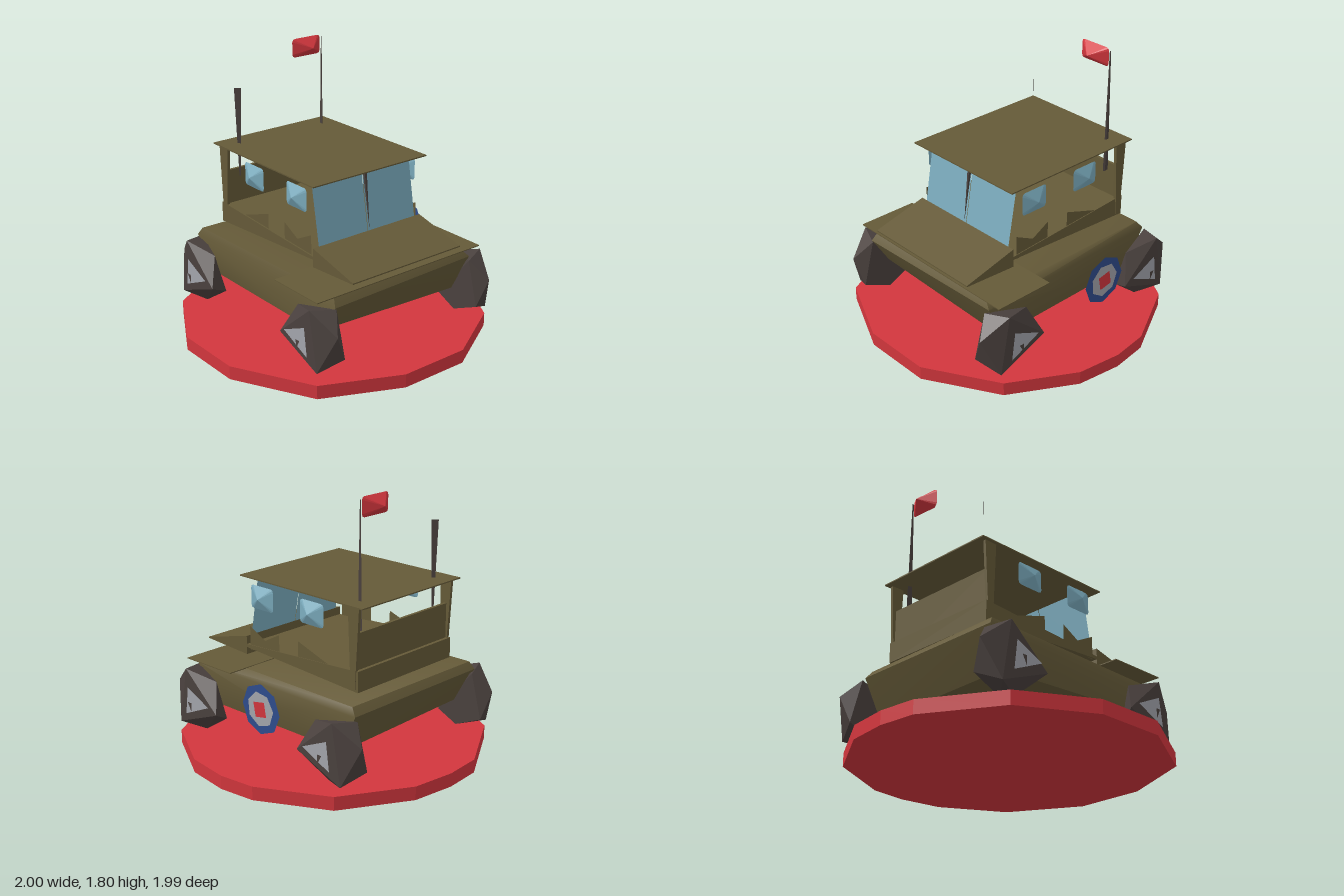
import * as THREE from 'three';
import { toCreasedNormals } from 'three/addons/utils/BufferGeometryUtils.js';
import { ConvexGeometry } from 'three/addons/geometries/ConvexGeometry.js';

export function createModel() {
  const group = new THREE.Group();
  const mat = (name, color, opts = {}) => {
    const m = new THREE.MeshStandardMaterial({ color, flatShading: true, side: THREE.DoubleSide, ...opts });
    m.name = name;
    return m;
  };
  const red = mat('red', 0xd2363d);
  const olive = mat('olive', 0x655a38, { flatShading: false });
  const glass = mat('glassBlue', 0x7cadbf);
  const rubber = mat('darkBrown', 0x4a413e);
  const navy = mat('navy', 0x2f4c8c);
  const grey = mat('grey', 0xa3a5ac);

  const add = (name, geo, material) => {
    const mesh = new THREE.Mesh(geo, material);
    mesh.name = name;
    group.add(mesh);
    return mesh;
  };
  const V = (p) => new THREE.Vector3(...p);
  const hull = (name, pts, material) => add(name, new ConvexGeometry(pts.map(V)), material);
  // Flat polygon, as a fan around its first corner
  const plate = (name, pts, material) => {
    const pos = [];
    for (let i = 1; i < pts.length - 1; i++) pos.push(...pts[0], ...pts[i], ...pts[i + 1]);
    const geo = new THREE.BufferGeometry();
    geo.setAttribute('position', new THREE.Float32BufferAttribute(pos, 3));
    geo.computeVertexNormals();
    return add(name, geo, material);
  };
  // Side profile given as [z, y], spanning x0..x1
  const prism = (name, zy, x0, x1, material) =>
    hull(name, zy.flatMap(([z, y]) => [[x0, y, z], [x1, y, z]]), material);
  const box = (name, x0, x1, y0, y1, z0, z1, material) => {
    const geo = new THREE.BoxGeometry(x1 - x0, y1 - y0, z1 - z0);
    geo.translate((x0 + x1) / 2, (y0 + y1) / 2, (z0 + z1) / 2);
    return add(name, geo, material);
  };
  // Rounded rectangle swelling to a point on both sides
  const pillow = (name, w, h, d, material) => {
    const pts = [[0, 0, d], [0, 0, -d]];
    const c = 0.02;
    for (const sx of [-1, 1]) for (const sy of [-1, 1]) {
      pts.push([sx * w, sy * (h - c), 0], [sx * (w - c * 0.3), sy * (h - c * 0.3), 0], [sx * (w - c), sy * h, 0]);
    }
    return hull(name, pts, material);
  };

  // Round base
  const rim = [[-0.23, 0.99], [0.25, 0.99], [0.72, 0.72], [0.96, 0.3], [1, 0], [0.97, -0.25], [0.73, -0.7],
    [0.29, -0.96], [0, -1], [-0.26, -0.98], [-0.74, -0.7], [-1, -0.24], [-1, 0.24], [-0.73, 0.76]];
  const disc = new THREE.ExtrudeGeometry(
    new THREE.Shape(rim.map(([x, z]) => new THREE.Vector2(x, -z))), { depth: 0.09, bevelEnabled: false });
  disc.rotateX(-Math.PI / 2);
  add('base', disc, red);

  // Lower hull
  const body = new ConvexGeometry([
    [-0.54, 0.59, 0.68], [0.52, 0.59, 0.68], [0.53, 0.59, -0.66], [-0.57, 0.59, -0.68],
    [-0.56, 0.53, 0.72], [0.57, 0.54, 0.7], [0.55, 0.54, -0.7], [-0.59, 0.54, -0.71],
    [-0.6, 0.34, 0.6], [0.54, 0.28, 0.58], [0.53, 0.28, -0.58], [-0.55, 0.3, -0.58],
    [0.58, 0.42, 0], [-0.6, 0.42, 0]].map(V));
  add('body', toCreasedNormals(body, 0.8), olive);
  box('frontFenders', -0.68, 0.66, 0.588, 0.594, 0.28, 0.7, olive);

  // Bonnet and cab tub
  prism('bonnet', [[0.75, 0.662], [0.75, 0.67], [0.37, 0.765], [0.37, 0.64]], -0.45, 0.43, olive);
  prism('cabTub', [[0.37, 0.71], [-0.61, 0.77], [-0.61, 0.635], [0.37, 0.69]], -0.45, 0.43, olive);
  box('rearPanel', -0.45, 0.43, 0.64, 1.0, -0.585, -0.565, olive);

  // Roof, rear posts and notched door sides
  box('roof', -0.47, 0.45, 1.17, 1.178, -0.66, 0.4, olive);
  for (const x of [-0.44, 0.425]) {
    prism('rearPost', [[-0.53, 1.17], [-0.62, 1.17], [-0.59, 0.65], [-0.555, 0.65]], x - 0.01, x + 0.01, olive);
    plate('frontDoorSide', [[x, 0.77, 0.2], [x, 0.84, 0.34], [x, 0.68, 0.34], [x, 0.7, 0.07], [x, 0.84, 0.07]], olive);
    plate('rearDoorSide', [[x, 0.84, -0.1], [x, 0.7, -0.1], [x, 0.74, -0.4]], olive);
  }

  // Split windscreen with centre strut
  for (const [x0, x1] of [[-0.405, -0.012], [-0.008, 0.385]]) {
    plate('windscreen', [[x0, 0.765, 0.37], [x1, 0.765, 0.37], [x1, 1.17, 0.3], [x0, 1.17, 0.3]], glass);
  }
  hull('windscreenStrut', [[-0.01, 0.78, 0.385], [-0.018, 1.17, 0.34], [0, 1.17, 0.34], [-0.01, 1.17, 0.31]], rubber);

  // Side windows
  for (const x of [-0.447, 0.44]) for (const z of [0.205, -0.235]) {
    const w = pillow('sideWindow', 0.1, 0.077, 0.042, glass);
    w.rotation.y = Math.PI / 2;
    w.position.set(x, 1.055, z);
  }

  // Wheels: faceted lumps with hub plates; s = side, f = front or rear
  for (const s of [1, -1]) for (const f of [1, -1]) {
    const ring = (x, pts) => pts.map(([z, y]) => [s * x, y, f * z]);
    hull(f > 0 ? 'frontWheel' : 'rearWheel', [
      ...ring(0.71, [[0.66, 0.54], [0.37, 0.29], [0.73, 0.15]]),
      ...ring(0.63, [[0.83, 0.4], [0.56, 0.12], [0.45, 0.48]]),
      ...ring(0.55, [[0.72, 0.52], [0.8, 0.22], [0.45, 0.2], [0.6, 0.13]])], rubber);
    plate('hubPlate', ring(0.725, [[0.655, 0.23], [0.63, 0.42], [0.43, 0.33]]), grey);
    plate('hubBolt', ring(0.745, [[0.575, 0.265], [0.61, 0.33], [0.575, 0.33]]), rubber);
  }

  // Target roundel on the left side
  const roundel = (name, x, r, n, turn, material) => {
    const pts = [];
    for (let i = 0; i < n; i++) {
      const a = turn + (i / n) * Math.PI * 2;
      pts.push([x, 0.485 + r * Math.sin(a), -0.107 + r * Math.cos(a)]);
    }
    plate(name, pts, material);
  };
  roundel('roundelOuter', 0.755, 0.165, 8, 0.02, navy);
  roundel('roundelMiddle', 0.76, 0.115, 7, 0.35, grey);
  roundel('roundelCentre', 0.765, 0.068, 4, 0.6, red);

  // Aerials and flag
  hull('flagPole', [[0.336, 0.95, -0.52], [0.342, 0.95, -0.56], [0.346, 0.95, -0.53],
    [0.338, 1.79, -0.535], [0.342, 1.79, -0.543], [0.344, 1.79, -0.538]], rubber);
  plate('aerial', [[-0.35, 0.95, -0.545], [-0.342, 0.95, -0.537], [-0.333, 1.555, -0.525], [-0.365, 1.555, -0.557]], rubber);
  pillow('flag', 0.115, 0.063, 0.08, red).position.set(0.213, 1.742, -0.54);

  return group;
}
